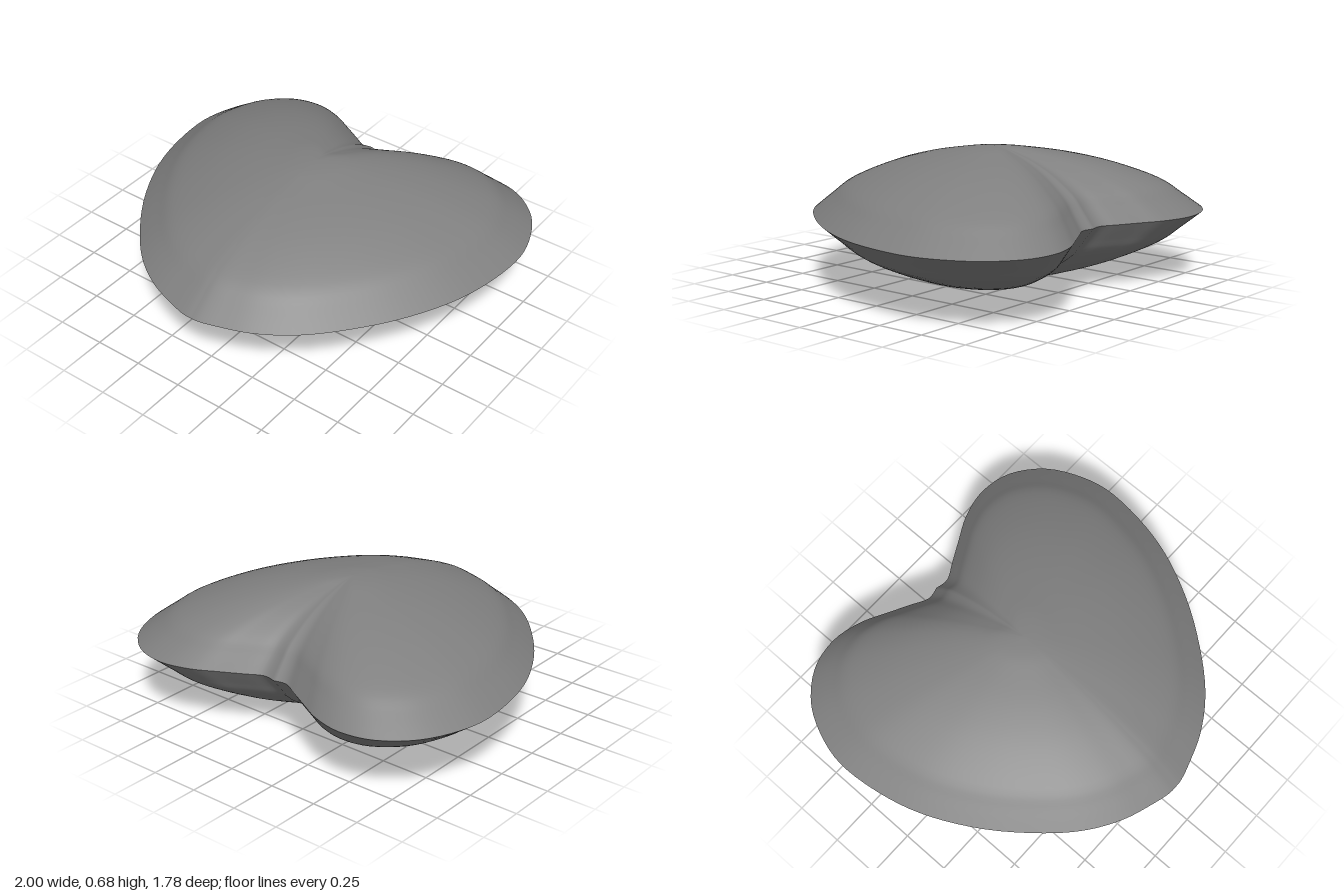
import * as THREE from 'three';

// Half of the heart outline (x, z), from the notch round to the tip
const HALF = [
  [0, -0.7], [0.07, -0.69], [0.16, -0.747 + 0.01], [0.27, -0.795], [0.4, -0.86], [0.56, -0.893],
  [0.73, -0.855], [0.88, -0.73], [0.97, -0.55], [1, -0.37], [0.97, -0.12], [0.9, 0.1],
  [0.77, 0.34], [0.6, 0.56], [0.45, 0.705], [0.29, 0.805], [0.14, 0.86], [0.05, 0.885], [0, 0.888],
];
// Cushion section: outline scale against height above the seam
const SECTION = [
  [0, 0.34], [0.1, 0.335], [0.2, 0.321], [0.4, 0.283], [0.6, 0.227], [0.8, 0.146], [0.9, 0.076], [1, 0],
];
const SEAM_Y = 0.34;
const CENTRE_Z = -0.1;

const toVectors = (list) => list.map(([a, b]) => new THREE.Vector2(a, b));

// One puffed side: shrinking copies of the outline rise (or sink) to the centre
function cushionHalf(outline, section, sign) {
  const n = outline.length;
  const positions = [0, SEAM_Y + sign * section[0].y, CENTRE_Z];
  const index = [];
  const face = (a, b, c) => (sign > 0 ? index.push(a, b, c) : index.push(a, c, b));
  for (let i = 1; i < section.length; i++) {
    const { x: s, y: h } = section[i];
    for (const p of outline) {
      positions.push(p.x * s, SEAM_Y + sign * h, CENTRE_Z + (p.y - CENTRE_Z) * s);
    }
    const outer = 1 + (i - 1) * n;
    const inner = outer - n;
    for (let j = 0; j < n; j++) {
      const k = (j + 1) % n;
      if (i === 1) {
        face(0, outer + k, outer + j);
      } else {
        face(inner + j, inner + k, outer + j);
        face(inner + k, outer + k, outer + j);
      }
    }
  }
  const geometry = new THREE.BufferGeometry();
  geometry.setAttribute('position', new THREE.Float32BufferAttribute(positions, 3));
  geometry.setIndex(index);
  geometry.computeVertexNormals();
  return geometry;
}

export function createModel() {
  const grey = new THREE.MeshStandardMaterial({ color: 0x808080 });
  grey.name = 'grey';

  // Mirror the half outline into a closed smooth loop
  const mirrored = HALF.slice(1, -1).reverse().map(([x, z]) => [-x, z]);
  const loop = new THREE.SplineCurve(toVectors([...HALF, ...mirrored, HALF[0]]));
  const outline = loop.getPoints(144).slice(0, -1);
  const section = new THREE.SplineCurve(toVectors(SECTION)).getPoints(28);

  const model = new THREE.Group();
  model.name = 'heartCushion';
  for (const [name, sign] of [['upperHalf', 1], ['lowerHalf', -1]]) {
    const mesh = new THREE.Mesh(cushionHalf(outline, section, sign), grey);
    mesh.name = name;
    model.add(mesh);
  }
  return model;
}
